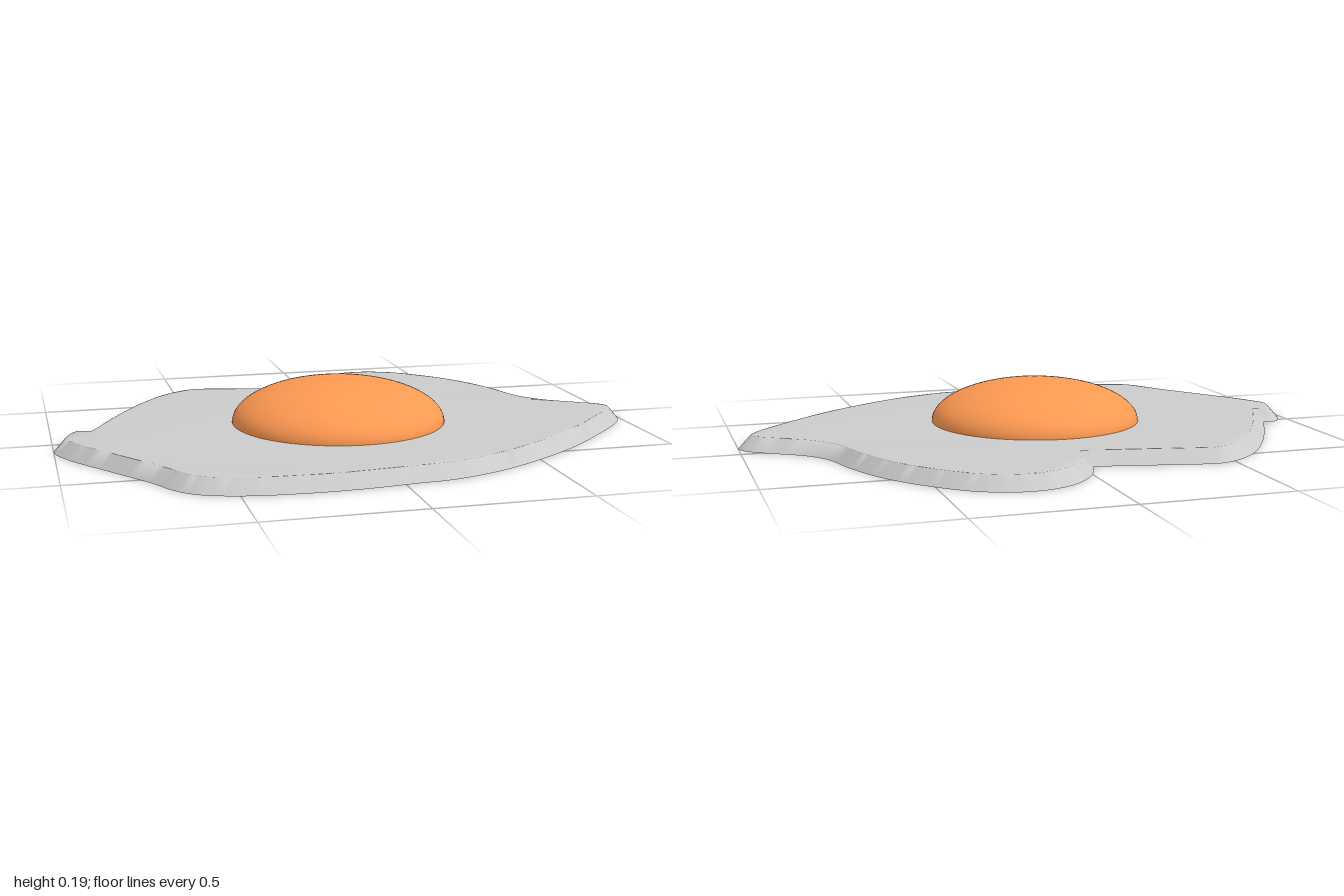
import * as THREE from 'three';

const HEIGHT = 0.045; // thickness of the egg white
const INSET = 0.04;   // how far the top rim sits inside the bottom rim

// Smooth run through [x, z] points, without its last point
function run(points, count) {
  const curve = new THREE.CatmullRomCurve3(points.map(([x, z]) => new THREE.Vector3(x, -z, 0)));
  return curve.getSpacedPoints(count).slice(0, -1).map((p) => new THREE.Vector2(p.x, p.y));
}

// Outline of the white: three runs that meet in sharp corners
function outline() {
  const notch = [-0.04, -0.52], nick = [-0.89, -0.03], corner = [-0.43, -0.605];
  const front = run([
    notch, [0, -0.62], [0.1, -0.73], [0.23, -0.77], [0.38, -0.73], [0.52, -0.61],
    [0.63, -0.46], [0.7, -0.3], [0.74, -0.17], [0.8, -0.09], [0.9, -0.02], [0.975, 0.035],
    [1, 0.09], [0.96, 0.17], [0.85, 0.29], [0.68, 0.45], [0.5, 0.58], [0.32, 0.68],
    [0.15, 0.735], [0.04, 0.745], [-0.12, 0.763], [-0.3, 0.767], [-0.5, 0.745],
    [-0.62, 0.7], [-0.68, 0.64], [-0.73, 0.55], [-0.86, 0.36], [-0.96, 0.21],
    [-1, 0.11], [-0.98, 0.03], [-0.93, -0.035], nick,
  ], 150);
  const back = run([
    nick, [-0.8, -0.21], [-0.7, -0.38], [-0.6, -0.51], [-0.5, -0.585], corner,
  ], 26);
  return [...front, ...back, ...run([corner, notch], 6)].reverse();
}

// Move every outline point inwards by a mitred offset
function inset(points, distance) {
  const n = points.length;
  const normal = (a, b) => new THREE.Vector2(a.y - b.y, b.x - a.x).normalize();
  return points.map((p, i) => {
    const before = normal(points[(i + n - 1) % n], p);
    const after = normal(p, points[(i + 1) % n]);
    const mid = before.clone().add(after).normalize();
    return mid.multiplyScalar(distance / Math.max(mid.dot(after), 0.6)).add(p);
  });
}

// Slab with a sloping rim: shading flows from rim to top, the base stays flat
function whiteGeometry() {
  const lower = outline();
  const upper = inset(lower, INSET);
  const n = lower.length;
  const positions = [];
  const addRing = (ring, y) => ring.forEach((p) => positions.push(p.x, y, -p.y));
  addRing(lower, 0);
  addRing(upper, HEIGHT);
  addRing(lower, 0);

  const index = [];
  for (let i = 0; i < n; i++) {
    const j = (i + 1) % n;
    index.push(i, j, n + j, i, n + j, n + i);
  }
  for (const [a, b, c] of THREE.ShapeUtils.triangulateShape(upper, [])) {
    index.push(n + a, n + b, n + c);
  }
  for (const [a, b, c] of THREE.ShapeUtils.triangulateShape(lower, [])) {
    index.push(2 * n + a, 2 * n + c, 2 * n + b);
  }

  const geometry = new THREE.BufferGeometry();
  geometry.setAttribute('position', new THREE.Float32BufferAttribute(positions, 3));
  geometry.setIndex(index);
  geometry.computeVertexNormals();
  return geometry;
}

export function createModel() {
  const group = new THREE.Group();
  group.name = 'friedEgg';

  const white = new THREE.Mesh(
    whiteGeometry(),
    new THREE.MeshStandardMaterial({ color: 0xcccccc }),
  );
  white.name = 'eggWhite';

  // Yolk: flattened half sphere resting on the white
  const dome = new THREE.SphereGeometry(1, 64, 24, 0, Math.PI * 2, 0, Math.PI / 2);
  dome.scale(0.365, 0.145, 0.365);
  const yolk = new THREE.Mesh(dome, new THREE.MeshStandardMaterial({ color: 0xff9a52 }));
  yolk.name = 'yolk';
  yolk.position.set(-0.035, HEIGHT, 0.065);

  group.add(white, yolk);
  return group;
}
